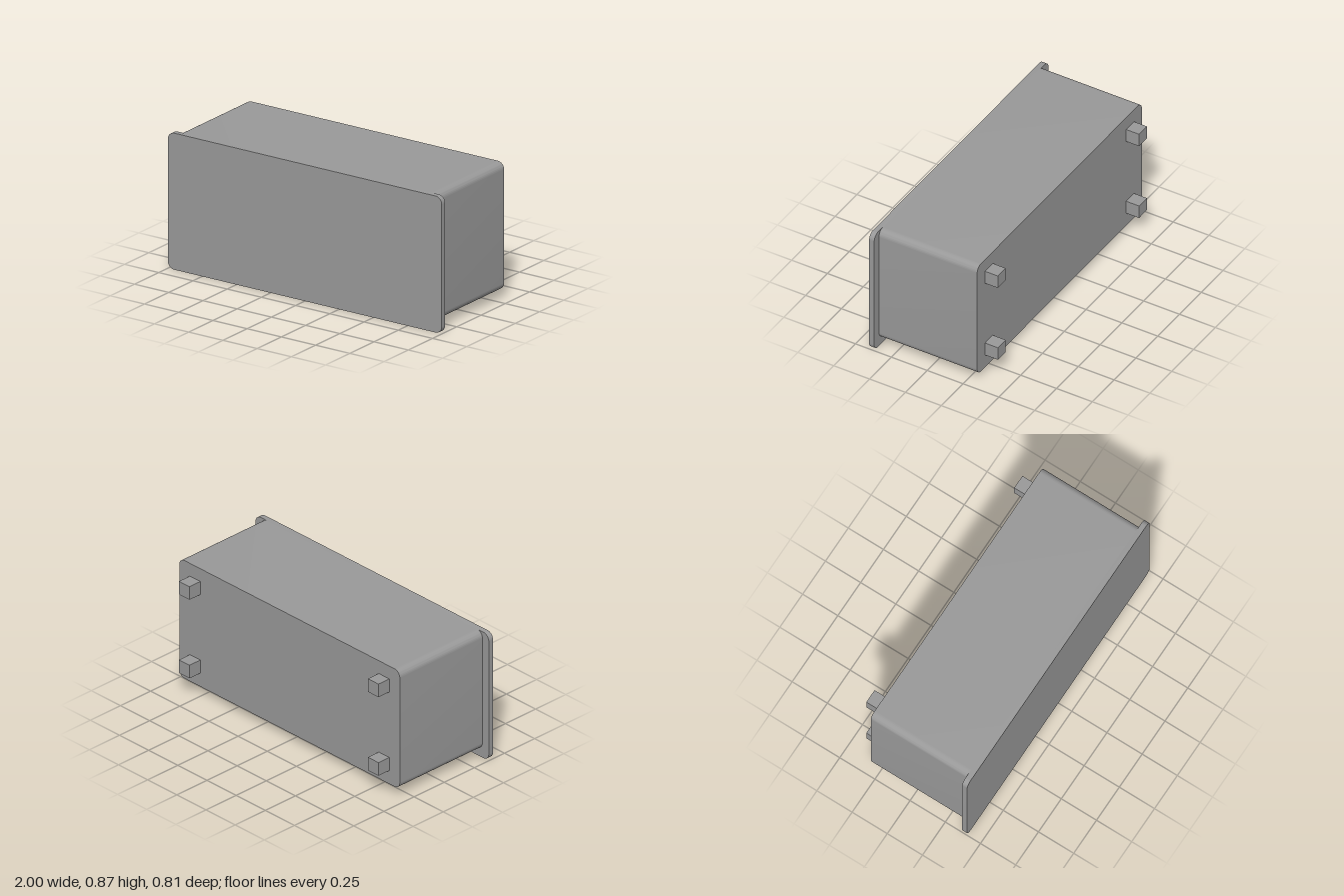
import * as THREE from 'three';
import { toCreasedNormals } from 'three/addons/utils/BufferGeometryUtils.js';

// Rounded rectangle in x/y, extruded from z0 to z1, smooth only round the corners
function roundedSlab(halfW, y0, y1, z0, z1, r) {
  const s = new THREE.Shape();
  s.moveTo(-halfW + r, y0);
  s.lineTo(halfW - r, y0);
  s.absarc(halfW - r, y0 + r, r, -Math.PI / 2, 0, false);
  s.lineTo(halfW, y1 - r);
  s.absarc(halfW - r, y1 - r, r, 0, Math.PI / 2, false);
  s.lineTo(-halfW + r, y1);
  s.absarc(-halfW + r, y1 - r, r, Math.PI / 2, Math.PI, false);
  s.lineTo(-halfW, y0 + r);
  s.absarc(-halfW + r, y0 + r, r, Math.PI, Math.PI * 1.5, false);
  const geo = new THREE.ExtrudeGeometry(s, { depth: z1 - z0, bevelEnabled: false, curveSegments: 8 });
  geo.translate(0, 0, z0);
  return toCreasedNormals(geo, Math.PI / 6);
}

export function createModel() {
  const model = new THREE.Group();
  model.name = 'dresser';
  const grey = new THREE.MeshStandardMaterial({ color: 0x999999 });
  grey.name = 'grey';

  function add(name, geometry, x = 0, y = 0, z = 0) {
    const mesh = new THREE.Mesh(geometry, grey);
    mesh.name = name;
    mesh.position.set(x, y, z);
    model.add(mesh);
    return mesh;
  }

  // Cabinet and its overhanging table top (the dresser lies on its drawer side)
  add('cabinet', roundedSlab(0.945, 0.055, 0.865, -0.315, 0.37, 0.045));
  add('tableTop', roundedSlab(1, 0, 0.865, 0.37, 0.405, 0.045));

  const legGeo = new THREE.BoxGeometry(0.09, 0.09, 0.09);
  const drawerGeo = new THREE.BoxGeometry(0.725, 0.02, 0.27);
  const handleGeo = new THREE.TorusGeometry(0.046, 0.009, 10, 20, Math.PI);
  handleGeo.rotateZ(Math.PI);

  for (const side of [-1, 1]) {
    // Square legs
    for (const y of [0.192, 0.732]) add('leg', legGeo, side * 0.81, y, -0.36);

    // Drawer fronts with half-ring handles
    for (const [z, handleZ] of [[0.182, 0.19], [-0.125, -0.115]]) {
      add('drawerFront', drawerGeo, side * 0.493, 0.049, z);
      add('drawerHandle', handleGeo, side * 0.493, 0.055, handleZ);
    }
  }
  return model;
}
